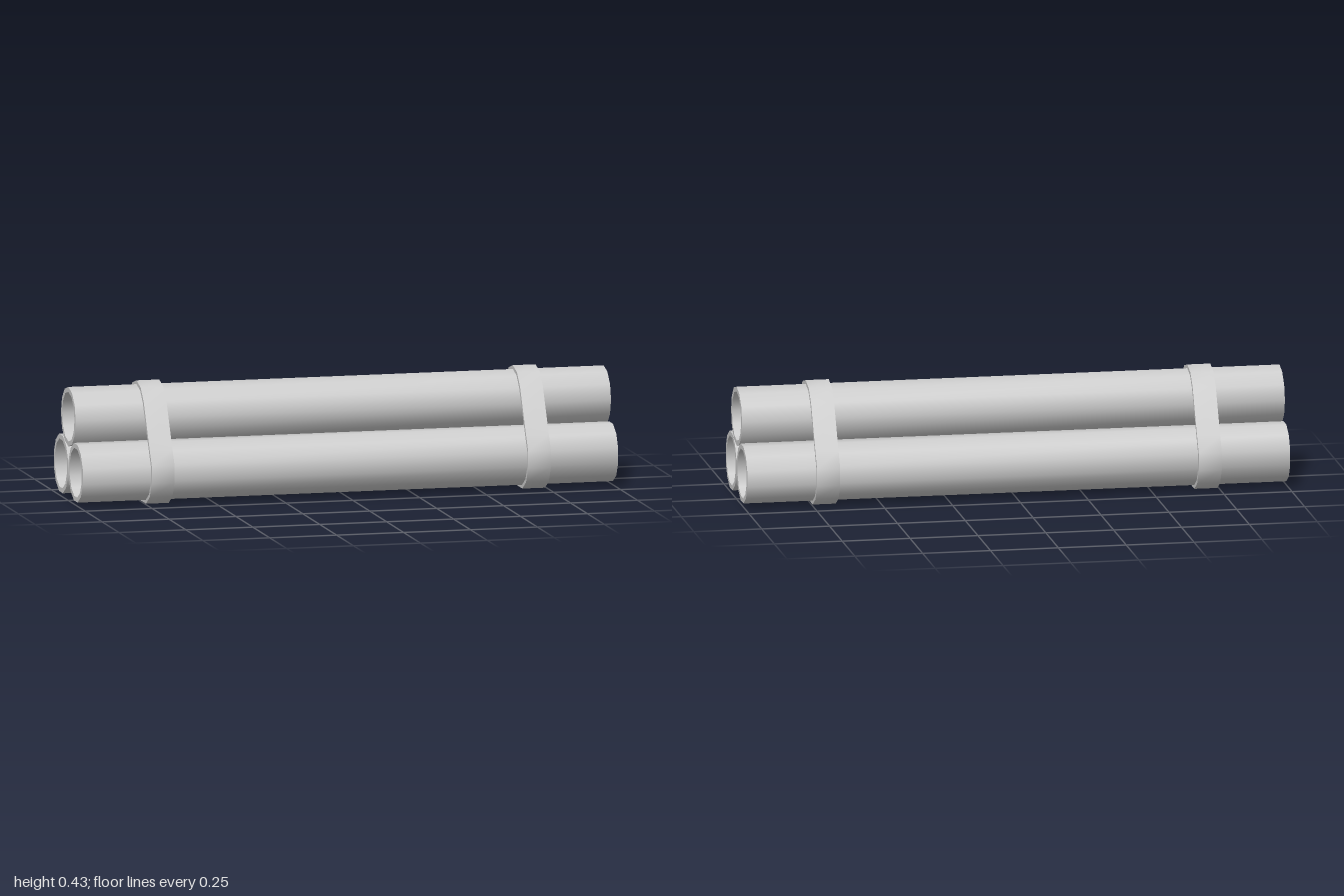
import * as THREE from 'three';
import { toCreasedNormals } from 'three/addons/utils/BufferGeometryUtils.js';

const material = new THREE.MeshStandardMaterial({ color: 0xcccccc });
const SIDES = 12;
const TOP = [0, 0.309];
const LOW = [0.109, 0.12];

// Points on a circle in the end-on plane, angles in degrees
function arc([cx, cy], radius, startDeg, count) {
  return Array.from({ length: count }, (_, i) => {
    const a = THREE.MathUtils.degToRad(startDeg + (i * 360) / SIDES);
    return new THREE.Vector2(cx + radius * Math.cos(a), cy + radius * Math.sin(a));
  });
}

// Hollow section extruded along x, centred on the given x
function hollowBar(name, outer, inner, length, x) {
  const shape = new THREE.Shape(outer);
  shape.holes.push(new THREE.Path(inner));
  const extruded = new THREE.ExtrudeGeometry(shape, { depth: length, bevelEnabled: false });
  extruded.translate(0, 0, -length / 2).rotateY(Math.PI / 2);
  const mesh = new THREE.Mesh(toCreasedNormals(extruded, 0.6), material);
  mesh.name = name;
  mesh.position.x = x;
  return mesh;
}

// Strap outline wrapped tightly around the three pipes
function strapOutline(radius) {
  return [
    ...arc(TOP, radius, 30, 5),
    ...arc([-LOW[0], LOW[1]], radius, 135, 5),
    ...arc(LOW, radius, 285, 5),
  ];
}

export function createModel() {
  const model = new THREE.Group();
  model.name = 'pipeBundle';

  // Three open pipes: one above, two below turned by half a facet
  const pipes = [
    ['topPipe', TOP, 0],
    ['frontPipe', [-LOW[0], LOW[1]], 15],
    ['backPipe', LOW, 15],
  ];
  for (const [name, centre, turn] of pipes) {
    model.add(hollowBar(name, arc(centre, 0.109, turn, SIDES), arc(centre, 0.091, turn, SIDES), 2, 0));
  }

  // Two straps holding the bundle together
  for (const side of [1, -1]) {
    const name = side > 0 ? 'leftStrap' : 'rightStrap';
    model.add(hollowBar(name, strapOutline(0.123), strapOutline(0.109), 0.085, side * 0.703));
  }
  return model;
}
